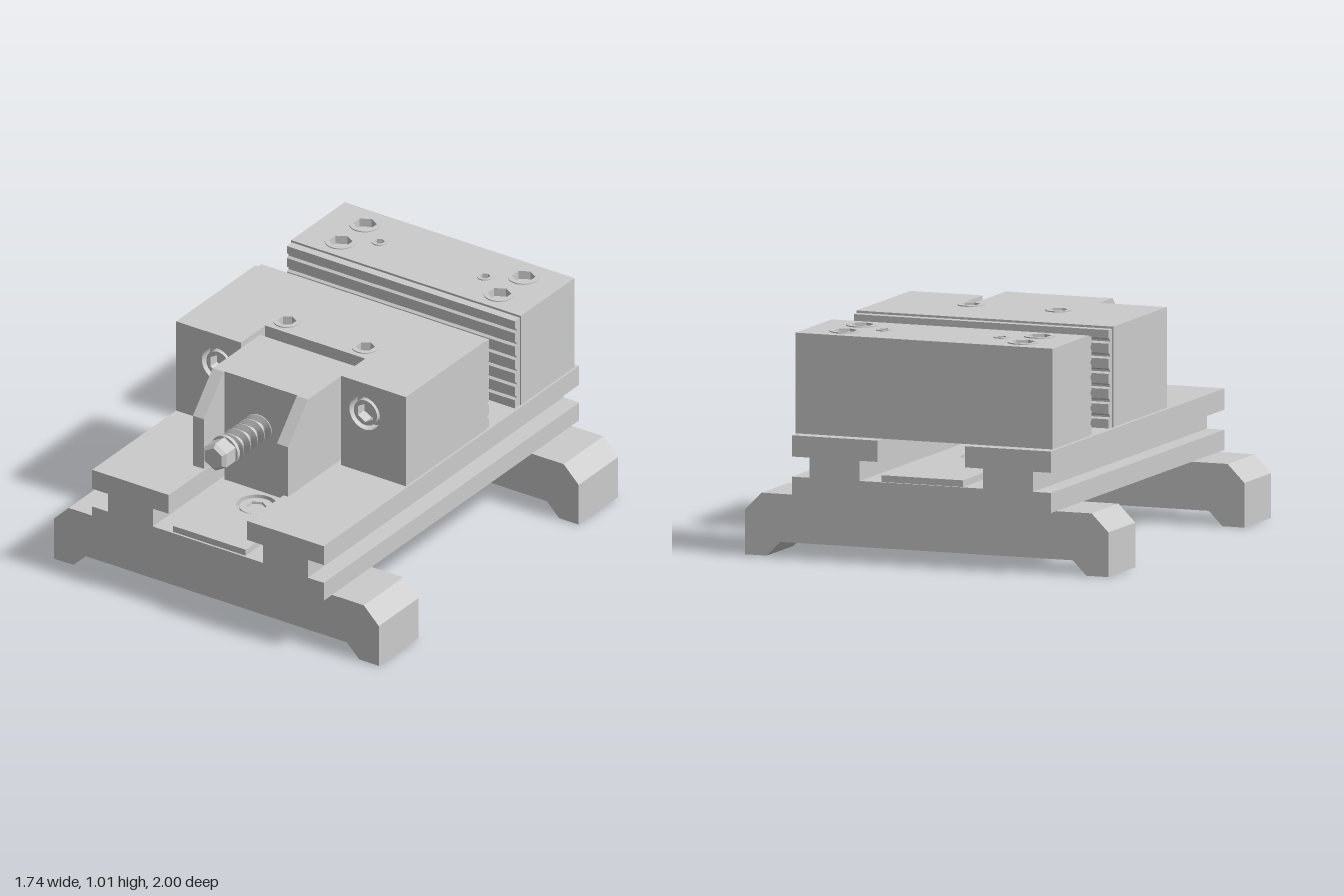
import * as THREE from 'three';
import { toCreasedNormals } from 'three/addons/utils/BufferGeometryUtils.js';
import { ParametricGeometry } from 'three/addons/geometries/ParametricGeometry.js';

const material = new THREE.MeshStandardMaterial({ color: 0xcccccc, side: THREE.DoubleSide });

function add(parent, name, geometry) {
  const mesh = new THREE.Mesh(geometry, material);
  mesh.name = name;
  parent.add(mesh);
  return mesh;
}

const polygon = (points) => new THREE.Shape(points.map(([x, y]) => new THREE.Vector2(x, y)));
const rect = (x0, y0, x1, y1) => polygon([[x0, y0], [x1, y0], [x1, y1], [x0, y1]]);
// outline given for +x only, mirrored to -x
const mirrored = (half) => polygon([...half, ...half.map(([x, y]) => [-x, y]).reverse()]);

function round(x, y, r, sides = 32) {
  return new THREE.Path(Array.from({ length: sides }, (_, i) => {
    const a = (i / sides) * Math.PI * 2 + Math.PI / 2;
    return new THREE.Vector2(x + r * Math.cos(a), y + r * Math.sin(a));
  }));
}

function extrude(shape, depth) {
  return toCreasedNormals(new THREE.ExtrudeGeometry(shape, { depth, bevelEnabled: false }), 0.5);
}
// extrusions along z, along y (shape drawn as x, -z) and along x (shape drawn as z, y)
const alongZ = (shape, z0, z1) => extrude(shape, z1 - z0).translate(0, 0, z0);
const alongY = (shape, y0, y1) => extrude(shape, y1 - y0).rotateX(-Math.PI / 2).translate(0, y0, 0);
const alongX = (shape, x0, x1) => extrude(shape, x1 - x0).rotateY(-Math.PI / 2).translate(x1, 0, 0);

// Socket-head screw pointing up, top of the head at the group's origin
function socketScrew(parent, name, r, hexR, depth, pos, turned = false) {
  const screw = new THREE.Group();
  screw.name = name;
  const head = new THREE.Shape(round(0, 0, r).getPoints());
  head.holes.push(round(0, 0, hexR, 6));
  add(screw, 'socketHead', alongY(head, -depth, 0));
  add(screw, 'socketFloor', new THREE.CylinderGeometry(r, r, 0.02, 32).translate(0, -depth - 0.01, 0));
  screw.position.set(...pos);
  if (turned) screw.rotation.x = Math.PI / 2;
  parent.add(screw);
}

// Grooved gripping plate; dir is the z direction the face looks to
function jawPlate(parent, zBack, dir) {
  const y0 = 0.56, y1 = 1.0, thick = 0.04, grooves = 6;
  const pitch = (y1 - y0) / (grooves + 0.5);
  const zf = zBack + dir * thick, zg = zf - dir * 0.012;
  const pts = [[zBack, y0], [zf, y0]];
  for (let i = 0; i < grooves; i++) {
    const y = y0 + pitch * (i + 0.6);
    pts.push([zf, y], [zg, y + 0.008], [zg, y + 0.016], [zf, y + 0.024]);
  }
  pts.push([zf, y1], [zBack, y1]);
  add(parent, 'grippingPlate', alongX(polygon(pts), -0.61, 0.61));
}

export function createModel() {
  const model = new THREE.Group();
  model.name = 'machineVise';

  // Cross feet
  const foot = mirrored([[0.7, 0.065], [0.765, 0], [0.87, 0], [0.87, 0.2], [0.79, 0.28]]);
  for (const z of [-0.785, 0.78]) add(model, 'crossFoot', alongZ(foot, z - 0.155, z + 0.155));

  // Bed with side grooves and a T-slot
  const bed = mirrored([
    [0.62, 0.28], [0.62, 0.37], [0.535, 0.37], [0.535, 0.46], [0.62, 0.46], [0.62, 0.555],
    [0.21, 0.555], [0.21, 0.46], [0.295, 0.46], [0.295, 0.37],
  ]);
  add(model, 'bed', alongZ(bed, -1, 1));

  // Strip in the slot with its two bolts
  const strip = rect(-0.195, -0.99, 0.195, 0.99);
  const boltZ = [-0.32, 0.62];
  for (const z of boltZ) strip.holes.push(round(0, -z, 0.09));
  add(model, 'slotStrip', alongY(strip, 0.365, 0.4));
  for (const z of boltZ) socketScrew(model, 'stripBolt', 0.075, 0.045, 0.012, [0, 0.392, z]);

  // Fixed jaw
  const fixed = new THREE.Group();
  fixed.name = 'fixedJaw';
  model.add(fixed);
  const fixedShape = rect(-0.615, 0.55, 0.615, 0.97);
  const fixedScrews = [];
  for (const s of [-1, 1]) {
    fixedScrews.push([s * 0.425, -0.85, 0.07, 0.053], [s * 0.425, -0.66, 0.07, 0.053], [s * 0.282, -0.755, 0.035, 0.024]);
  }
  for (const [x, z, r] of fixedScrews) fixedShape.holes.push(round(x, -z, r));
  add(fixed, 'fixedJawBody', alongY(fixedShape, 0.56, 1.01));
  for (const [x, z, r, h] of fixedScrews) socketScrew(fixed, 'topScrew', r, h, 0.04, [x, 1.015, z]);
  jawPlate(fixed, -0.55, 1);

  // Moving jaw: main block plus two lugs around the nut block
  const moving = new THREE.Group();
  moving.name = 'movingJaw';
  model.add(moving);
  const mainShape = rect(-0.615, -0.16, 0.615, 0.27);
  for (const s of [-1, 1]) mainShape.holes.push(round(s * 0.21, -0.075, 0.06));
  add(moving, 'movingJawBody', alongY(mainShape, 0.56, 1.01));
  jawPlate(moving, -0.27, -1);
  for (const s of [-1, 1]) {
    socketScrew(moving, 'topScrew', 0.06, 0.042, 0.04, [s * 0.21, 1.015, 0.075]);
    const lug = s > 0 ? rect(0.268, 0.56, 0.615, 1.01) : rect(-0.615, 0.56, -0.268, 1.01);
    lug.holes.push(round(s * 0.395, 0.86, 0.082));
    add(moving, 'lug', alongZ(lug, 0.16, 0.35));
    socketScrew(moving, 'lugScrew', 0.062, 0.046, 0.05, [s * 0.395, 0.86, 0.345], true);
    add(moving, 'counterboreFloor', new THREE.CircleGeometry(0.082, 32).translate(s * 0.395, 0.86, 0.29));
  }

  // Nut block: key down into the slot, chamfered cheeks on both sides
  const nut = new THREE.Group();
  nut.name = 'nutBlock';
  model.add(nut);
  const section = mirrored([[0.195, 0.45], [0.195, 0.575], [0.255, 0.575], [0.255, 0.995]]);
  add(nut, 'nutBody', alongZ(section, 0.22, 0.585));
  const cheek = polygon([[0.585, 0.575], [0.745, 0.575], [0.745, 0.825], [0.59, 0.995], [0.585, 0.995]]);
  for (const x of [-0.255, 0.195]) add(nut, 'cheek', alongX(cheek, x, x + 0.06));

  // Lead screw with helical thread and flanged hex head
  const lead = new THREE.Group();
  lead.name = 'leadScrew';
  lead.position.set(0, 0.785, 0);
  model.add(lead);
  const pitch = 0.054, z0 = 0.14, turns = 12.5;
  const thread = new ParametricGeometry((u, v, target) => {
    const a = u * turns * Math.PI * 2;
    const t = [0, 0.3, 0.46, 0.54, 0.7, 1, 1][Math.min(6, Math.round(v * 5))];
    const r = t > 0.4 && t < 0.6 ? 0.066 : 0.036;
    target.set(r * Math.cos(a), r * Math.sin(a), z0 + pitch * (u * turns + t));
  }, 300, 5);
  add(lead, 'thread', toCreasedNormals(thread, 0.5));
  add(lead, 'core', new THREE.CylinderGeometry(0.035, 0.035, 0.72, 24).rotateX(Math.PI / 2).translate(0, 0, 0.5));
  add(lead, 'flange', new THREE.CylinderGeometry(0.071, 0.071, 0.018, 32).rotateX(Math.PI / 2).translate(0, 0, 0.862));
  const hex = (r0, r1, h, z) => toCreasedNormals(
    new THREE.CylinderGeometry(r1, r0, h, 6).rotateX(Math.PI / 2).rotateZ(0).translate(0, 0, z), 0.5);
  add(lead, 'hexHead', hex(0.068, 0.068, 0.07, 0.905));
  add(lead, 'hexChamfer', hex(0.068, 0.052, 0.018, 0.949));

  return model;
}
